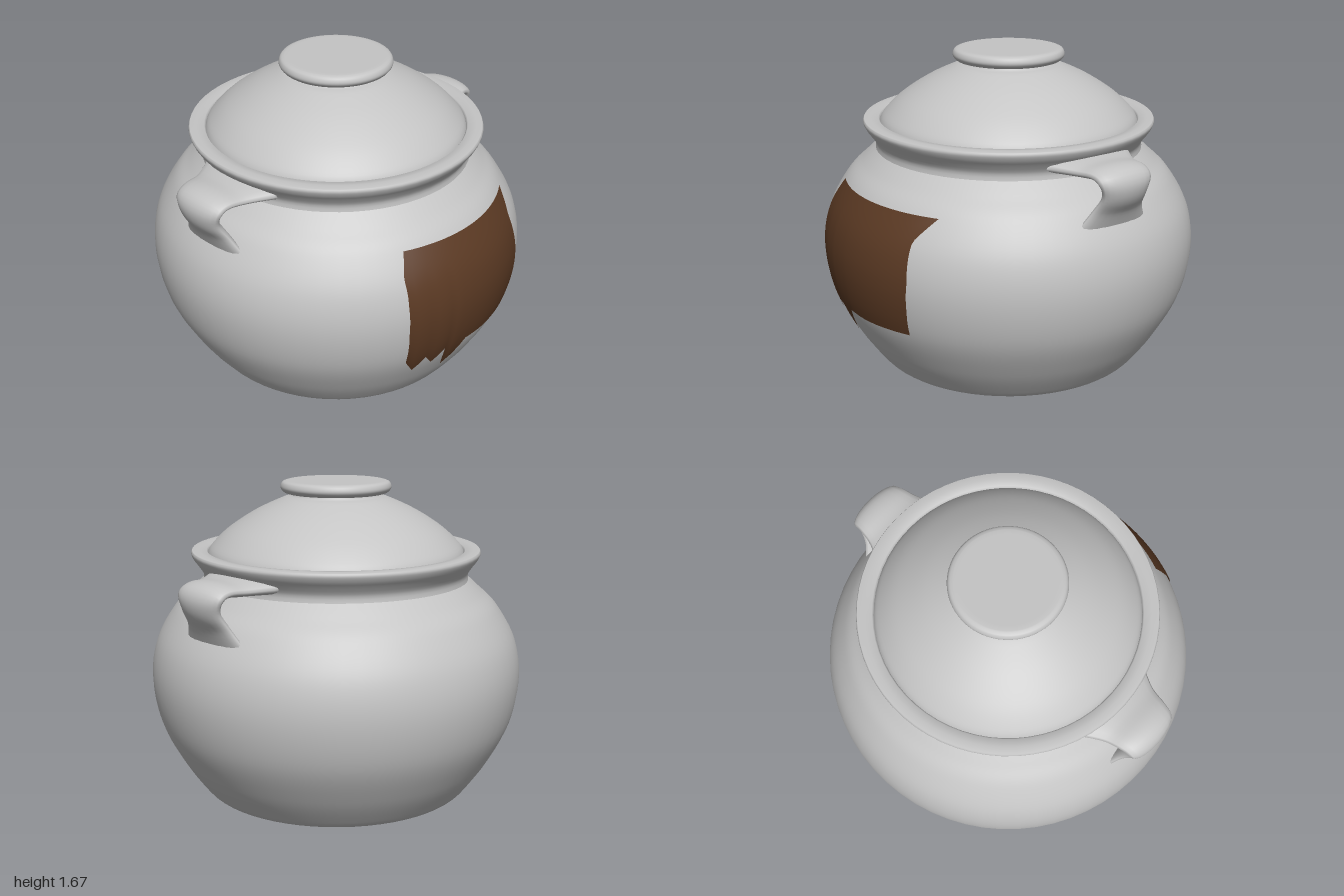
import * as THREE from 'three';

const clay = new THREE.MeshStandardMaterial({ color: 0xc4c4c4 });
clay.name = 'grey clay';
clay.side = THREE.DoubleSide;
const brown = new THREE.MeshStandardMaterial({ color: 0x5a3923 });
brown.name = 'brown label';
brown.side = THREE.DoubleSide;

const V2 = (p) => new THREE.Vector2(p[0], p[1]);
const smooth = (pts, n) => new THREE.SplineCurve(pts.map(V2)).getPoints(n);

// Piecewise-linear lookup in [key, value] pairs with rising keys
function lookup(table, k) {
  if (k <= table[0][0]) return table[0][1];
  for (let i = 1; i < table.length; i++) {
    const [k0, v0] = table[i - 1], [k1, v1] = table[i];
    if (k <= k1) return v0 + (v1 - v0) * (k - k0) / (k1 - k0);
  }
  return table[table.length - 1][1];
}

function mesh(name, geometry, material) {
  const m = new THREE.Mesh(geometry, material);
  m.name = name;
  return m;
}
const lathe = (name, pts) => mesh(name, new THREE.LatheGeometry(pts, 64), clay);

// Builds a smooth indexed surface from a grid of points
function gridGeometry(rows, closed) {
  const cols = rows[0].length, index = [];
  for (let i = 0; i < rows.length - 1; i++) {
    for (let j = 0; j < (closed ? cols : cols - 1); j++) {
      const k = (j + 1) % cols;
      const a = i * cols + j, b = i * cols + k;
      index.push(a, b, a + cols, b, b + cols, a + cols);
    }
  }
  const g = new THREE.BufferGeometry().setFromPoints(rows.flat());
  g.setIndex(index);
  g.computeVertexNormals();
  return g;
}

// Round belly profile: radius, height
const belly = smooth([[0.71, 0.005], [0.745, 0.04], [0.85, 0.19], [0.955, 0.4], [0.995, 0.63],
  [0.965, 0.83], [0.87, 1.0], [0.78, 1.09], [0.71, 1.155]], 48);
const bellyRadius = belly.map((p) => [p.y, p.x]);

// Strap handle swept from the rim down to the shoulder
function handleGeometry() {
  const path = new THREE.SplineCurve([[0.68, 1.215], [0.80, 1.21], [0.90, 1.212], [0.953, 1.18],
    [0.948, 1.11], [0.90, 1.03], [0.86, 0.94]].map(V2));
  const size = new THREE.SplineCurve([[0.26, 0.05], [0.19, 0.04], [0.165, 0.04], [0.155, 0.048],
    [0.135, 0.045], [0.155, 0.04], [0.21, 0.04]].map(V2)); // half width, half thickness
  const rows = [];
  for (let i = 0; i <= 30; i++) {
    const p = path.getPoint(i / 30), t = path.getTangent(i / 30), s = size.getPoint(i / 30);
    const ring = [];
    for (let j = 0; j < 20; j++) {
      const a = j / 20 * Math.PI * 2, h = s.y * Math.cos(a);
      ring.push(new THREE.Vector3(p.x - t.y * h, p.y + t.x * h, s.x * Math.sin(a)));
    }
    rows.push(ring);
  }
  return gridGeometry(rows, true);
}

// Torn label wrapped on the front of the belly
function labelGeometry() {
  const left = [[0.3, -0.38], [0.4, -0.41], [0.6, -0.43], [0.75, -0.43], [0.89, -0.42], [1.0, -0.37]];
  const right = [[0.4, 0.40], [0.55, 0.42], [0.7, 0.43], [0.89, 0.41], [1.0, 0.47]];
  const tornEdge = [[0, 0.39], [0.05, 0.30], [0.13, 0.39], [0.18, 0.32], [0.27, 0.40],
    [0.315, 0.235], [0.45, 0.40], [0.62, 0.395], [1, 0.405]];
  const us = [];
  tornEdge.slice(1).forEach(([u1], i) => {
    const u0 = tornEdge[i][0], n = Math.ceil((u1 - u0) / 0.05);
    for (let k = 0; k < n; k++) us.push(u0 + (u1 - u0) * k / n);
  });
  us.push(1);
  const columns = us.map((u) => {
    const low = lookup(tornEdge, u), column = [];
    for (let i = 0; i <= 24; i++) {
      const y = low + (1.0 - low) * i / 24;
      const x = THREE.MathUtils.lerp(lookup(left, y), lookup(right, y), u);
      const r = lookup(bellyRadius, y) + 0.006;
      column.push(new THREE.Vector3(x, y, Math.sqrt(r * r - x * x)));
    }
    return column;
  });
  return gridGeometry(columns.reverse(), false);
}

export function createModel() {
  const pot = new THREE.Group();
  pot.name = 'lidded pot';

  // Body: flat base, belly and flared rim
  pot.add(lathe('base', [[0, 0.005], [0.71, 0.005]].map(V2)));
  pot.add(lathe('belly', belly));
  pot.add(lathe('rim', [...smooth([[0.71, 1.15], [0.708, 1.19], [0.735, 1.235], [0.758, 1.265],
    [0.772, 1.295], [0.766, 1.312]], 16), ...[[0.73, 1.314], [0.69, 1.31], [0.68, 1.295], [0.68, 1.27]].map(V2)]));

  // Domed lid with a disc knob
  pot.add(lathe('lid', smooth([[0.685, 1.29], [0.66, 1.335], [0.57, 1.42], [0.43, 1.51],
    [0.29, 1.575], [0.235, 1.592], [0.225, 1.62]], 28)));
  pot.add(lathe('knob', [...smooth([[0.2, 1.603], [0.265, 1.606], [0.288, 1.622], [0.294, 1.64],
    [0.284, 1.662], [0.262, 1.67]], 16), ...[[0.24, 1.671], [0, 1.671]].map(V2)]));

  // Two handles, one turned half way round
  const strap = handleGeometry();
  [['leftHandle', 0], ['rightHandle', Math.PI]].forEach(([name, turn]) => {
    const handle = mesh(name, strap, clay);
    handle.rotation.y = turn;
    pot.add(handle);
  });

  pot.add(mesh('label', labelGeometry(), brown));
  return pot;
}
